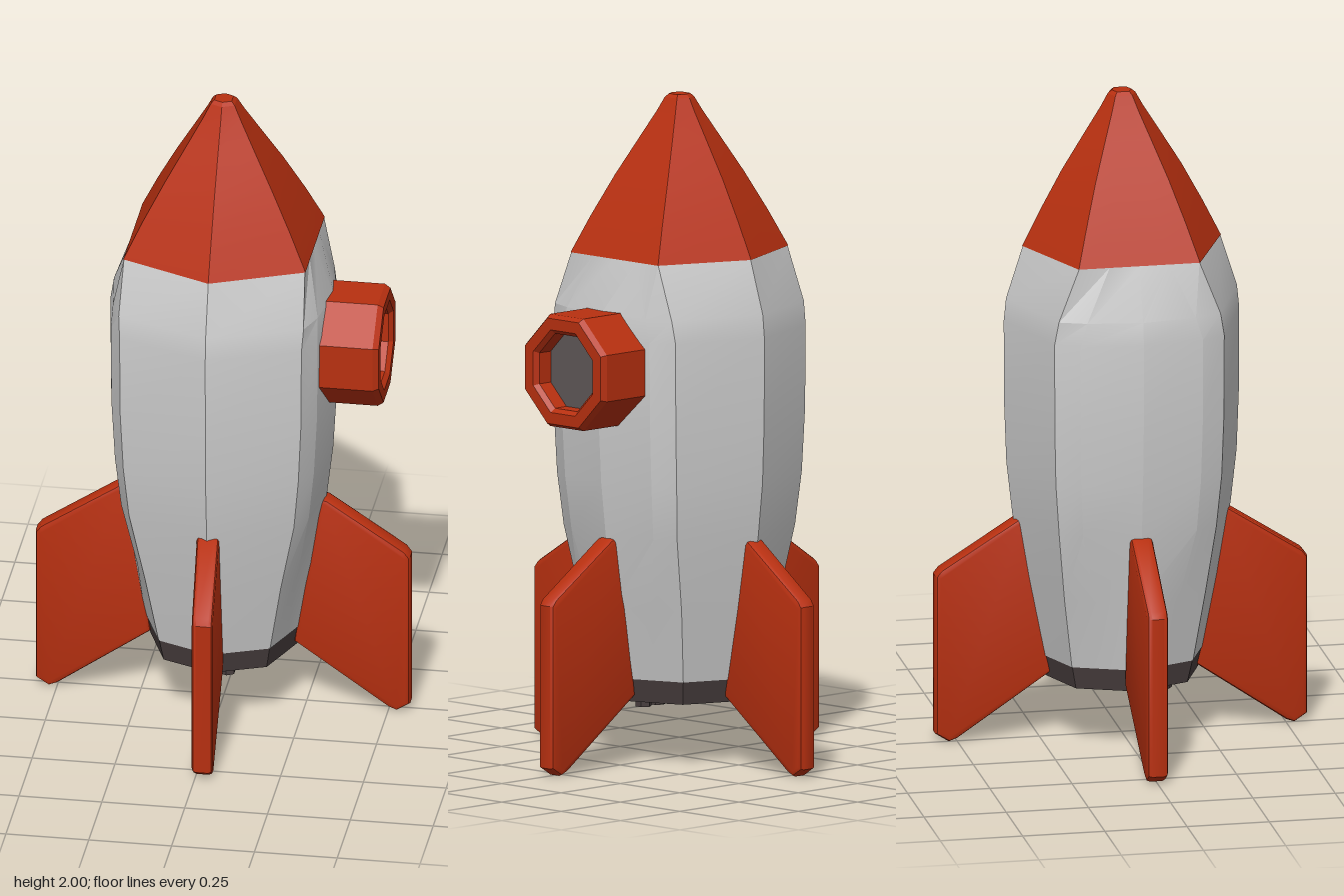
import * as THREE from 'three';
import { toCreasedNormals } from 'three/addons/utils/BufferGeometryUtils.js';

const material = (name, color) => {
  const m = new THREE.MeshStandardMaterial({ color });
  m.name = name;
  return m;
};

// Cross-section proportions: two corner points between the +z and +x axes
const HEX = [1, 0.61, 1, 0.3];
const ROUND = [0.8, 0.72, 0.91, 0.52];
const BASE = [0.7, 0.73, 0.85, 0.37];

// One 12-point ring, half width w in x and d in z
function ring([y, w, d, [a, b, c, e]]) {
  const q = [[0, 1], [a, b], [c, e], [1, 0], [c, -e], [a, -b]];
  return [...q, ...q.map(([x, z]) => [-x, -z])].map(([x, z]) => [x * w, y, z * d]);
}

// Skin a list of rings
function loft(sections) {
  const rings = sections.map(ring);
  const n = rings[0].length;
  const index = [];
  for (let r = 0; r < rings.length - 1; r++) {
    for (let i = 0; i < n; i++) {
      const a = r * n + i, b = r * n + (i + 1) % n;
      index.push(a, b, b + n, a, b + n, a + n);
    }
  }
  const g = new THREE.BufferGeometry();
  g.setAttribute('position', new THREE.Float32BufferAttribute(rings.flat(2), 3));
  g.setIndex(index);
  return toCreasedNormals(g, 0.3);
}

// Swept fin along +x, its tip leaning sideways by lean
function finGeometry(lean) {
  const outline = [[0.215, 0.21], [0.5, 0.01], [0.525, 0], [0.565, 0.025], [0.565, 0.515], [0.55, 0.535], [0.315, 0.69], [0.28, 0.695]];
  const shape = new THREE.Shape(outline.map(([x, y]) => new THREE.Vector2(x, y)));
  const g = new THREE.ExtrudeGeometry(shape, {
    depth: 0.04, bevelEnabled: true, bevelThickness: 0.014, bevelSize: 0.014, bevelOffset: -0.014, bevelSegments: 2,
  });
  g.translate(0, 0, -0.02);
  const p = g.attributes.position;
  for (let i = 0; i < p.count; i++) {
    const t = Math.max(0, (p.getX(i) - 0.3) / 0.26);
    p.setZ(i, p.getZ(i) * (1 - 0.08 * t) + lean * t);
  }
  return toCreasedNormals(g, 0.6);
}

export function createModel() {
  const red = material('red paint', 0xb83010);
  const white = material('white hull', 0xcbcbcb);
  const dark = material('dark metal', 0x483e3e);
  const glass = material('window glass', 0x5f5757);

  const model = new THREE.Group();
  model.name = 'rocket';
  const add = (name, geometry, mat) => {
    const mesh = new THREE.Mesh(geometry, mat);
    mesh.name = name;
    model.add(mesh);
    return mesh;
  };

  // Hull, round in the middle and six-sided under the nose
  add('hull', loft([
    [0.26, 0.24, 0.252, BASE],
    [0.48, 0.277, 0.295, [0.74, 0.725, 0.87, 0.43]],
    [0.7, 0.311, 0.332, ROUND],
    [0.86, 0.33, 0.35, ROUND],
    [1.05, 0.341, 0.357, ROUND],
    [1.3, 0.343, 0.358, ROUND],
    [1.37, 0.332, 0.351, [0.84, 0.7, 0.93, 0.47]],
    [1.53, 0.273, 0.3, HEX],
  ]), white);

  // Nose cone
  add('noseCone', loft([
    [1.53, 0.275, 0.302, HEX],
    [1.64, 0.223, 0.247, HEX],
    [1.76, 0.161, 0.182, HEX],
    [1.87, 0.1, 0.114, HEX],
    [1.95, 0.056, 0.064, HEX],
    [1.99, 0.036, 0.042, HEX],
    [2, 0.026, 0.03, HEX],
    [2, 0, 0, HEX],
  ]), red);

  // Hollow engine ring
  add('engineRing', loft([
    [0.3, 0, 0, BASE],
    [0.3, 0.165, 0.17, BASE],
    [0.19, 0.175, 0.18, BASE],
    [0.19, 0.222, 0.232, BASE],
    [0.26, 0.238, 0.25, BASE],
  ]), dark);

  // Small pipes inside the engine
  for (const x of [-0.03, 0.03]) {
    const pipe = add('enginePipe', toCreasedNormals(new THREE.CylinderGeometry(0.025, 0.025, 0.17, 6), 0.3), dark);
    pipe.position.set(x, 0.225, 0.122);
  }

  // Four fins, the front and back ones leaning towards +x
  const fins = [['leftFin', 0, 0], ['rightFin', Math.PI, 0], ['frontFin', -Math.PI / 2, -0.022], ['backFin', Math.PI / 2, 0.022]];
  for (const [name, turn, lean] of fins) {
    add(name, finGeometry(lean), red).rotation.y = turn;
  }

  // Eight-sided porthole tube on the +x side
  const profile = [[0.183, 0.24], [0.183, 0.475], [0.172, 0.492], [0.135, 0.492], [0.122, 0.478], [0.122, 0.42]];
  const tube = new THREE.LatheGeometry(profile.map(([r, h]) => new THREE.Vector2(r, h)), 8, Math.PI / 8);
  tube.deleteAttribute('normal');
  tube.rotateZ(-Math.PI / 2);
  add('portholeFrame', toCreasedNormals(tube, 0.3), red).position.y = 1.21;

  const pane = new THREE.CircleGeometry(0.124, 8, Math.PI / 8);
  pane.rotateY(Math.PI / 2);
  add('portholeGlass', pane, glass).position.set(0.43, 1.21, 0);

  return model;
}
